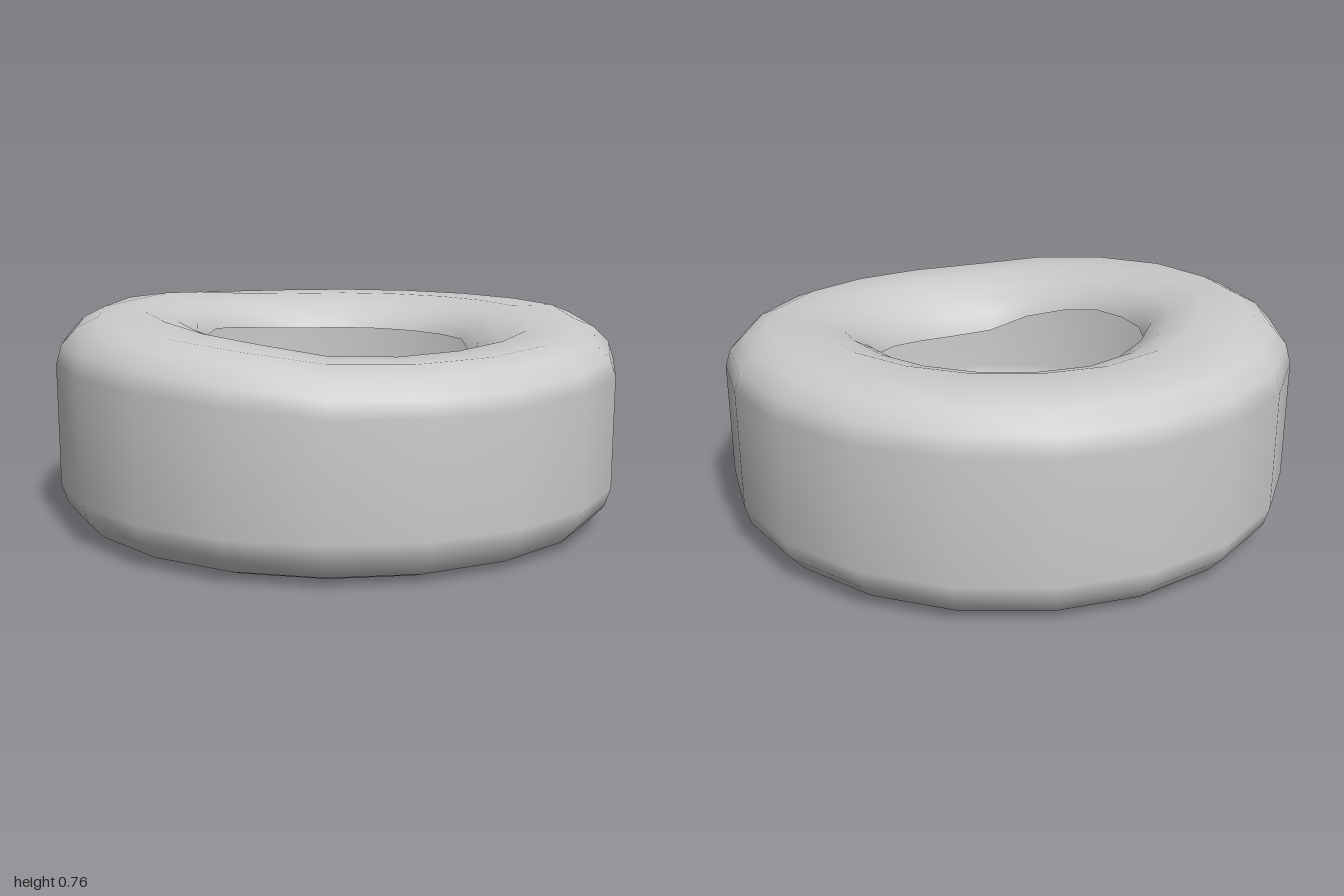
import * as THREE from 'three';
import { mergeVertices } from 'three/addons/utils/BufferGeometryUtils.js';

const SIDES = 20;

// Cross-section from the lower lip, around the tread, to the upper lip:
// [radius, height, share of a rise, share of a dent]
const PROFILE = [
  [0.485, 0.14, 0, 0], [0.51, 0.085, 0, 0], [0.58, 0.035, 0, 0], [0.69, 0.006, 0, 0],
  [0.85, 0, 0, 0], [0.93, 0.03, 0, 0], [0.98, 0.085, 0, 0], [1, 0.15, 0, 0],
  [1, 0.57, 0, 0.8], [0.98, 0.635, 0.1, 1], [0.925, 0.69, 0.25, 1], [0.85, 0.72, 0.5, 1],
  [0.69, 0.72, 1, 1], [0.58, 0.685, 1, 1.3], [0.51, 0.645, 1, 1.7], [0.485, 0.6, 0.8, 2],
];

// Unevenness of the upper sidewall, one value per side, from +x by way of the back
const SAG = [0, 0, 0, 0, 0, 0.01, 0.03, 0.045, 0.03, 0.02,
  0.01, -0.01, -0.03, -0.06, -0.065, -0.06, -0.05, -0.04, -0.02, 0];

export function createModel() {
  const group = new THREE.Group();
  group.name = 'tyre';

  // Hollow shell, open at the inner rim
  const lathe = new THREE.LatheGeometry(PROFILE.map(([r, y]) => new THREE.Vector2(r, y)), SIDES);
  const pos = lathe.attributes.position;
  for (let i = 0; i < pos.count; i++) {
    const angle = Math.atan2(-pos.getZ(i), pos.getX(i));
    const side = (Math.round(angle / (2 * Math.PI) * SIDES) + SIDES) % SIDES;
    const [, y, rise, dent] = PROFILE[i % PROFILE.length];
    pos.setY(i, y + SAG[side] * (SAG[side] > 0 ? rise : dent));
  }

  // Weld the seam for smooth shading all round
  lathe.deleteAttribute('uv');
  lathe.deleteAttribute('normal');
  const geometry = mergeVertices(lathe, 1e-4);
  geometry.computeVertexNormals();

  const material = new THREE.MeshStandardMaterial({ color: 0xcccccc, side: THREE.DoubleSide });
  const shell = new THREE.Mesh(geometry, material);
  shell.name = 'tyreShell';
  group.add(shell);
  return group;
}
